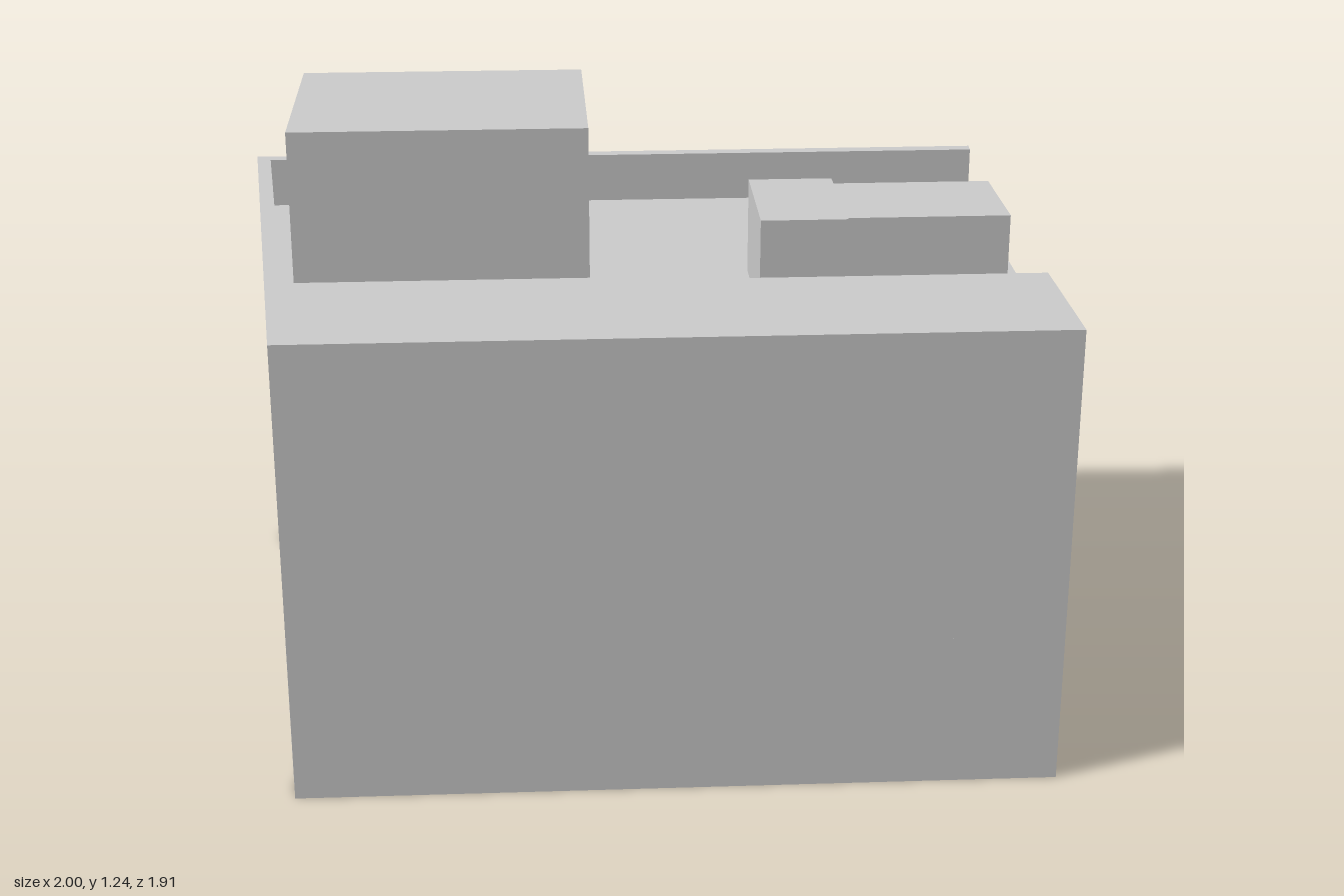
import * as THREE from 'three';

const material = new THREE.MeshStandardMaterial({ color: 0xcccccc, flatShading: true });

// Vertical prism over a plan outline of [x, z] points, from y0 up to y1
function prism(name, outline, y0, y1) {
  const shape = new THREE.Shape(outline.map(([x, z]) => new THREE.Vector2(x, -z)));
  const geometry = new THREE.ExtrudeGeometry(shape, { depth: y1 - y0, bevelEnabled: false });
  geometry.rotateX(-Math.PI / 2).translate(0, y0, 0);
  const mesh = new THREE.Mesh(geometry, material);
  mesh.name = name;
  return mesh;
}

export function createModel() {
  const model = new THREE.Group();
  model.name = 'building';

  // Plan corners of the main block, turned on the site
  const backLeft = [1, -0.27], frontLeft = [0.475, 0.957];
  const frontRight = [-1, 0.325], backRight = [-0.61, -0.957];
  const overhang = 0.335, roof = 0.895, parapet = 1.01;

  // Ground floor: square to the back wall, set back under the slanted side,
  // with the back and front walls running out to the full outline
  model.add(prism('groundFloor', [
    backLeft, frontLeft, frontRight,
    [-0.979, 0.254], [-0.97, 0.257],
    [-0.505, -0.83], [-0.631, -0.888], backRight,
  ], 0, overhang));

  // Upper floors: full trapezoid
  model.add(prism('upperFloors', [backLeft, frontLeft, frontRight, backRight], overhang, roof));

  // Parapet: thin at the back and slanted side, deep at the front, open at the left end
  model.add(prism('parapet', [
    backLeft, [0.985, -0.24], [-0.59, -0.915], [-0.865, 0], [0.61, 0.632],
    frontLeft, frontRight, backRight,
  ], roof, parapet));

  // Boxes standing on the roof
  model.add(prism('roofHouse',
    [[-0.525, -0.82], [0.08, -0.56], [-0.127, -0.073], [-0.733, -0.332]], roof, 1.24));
  model.add(prism('stairHead',
    [[0.215, 0.035], [0.385, 0.108], [0.265, 0.388], [0.093, 0.315]], roof, 1.107));
  model.add(prism('plantBox',
    [[0.385, 0.108], [0.71, 0.247], [0.61, 0.485], [0.283, 0.346]], roof, 1.095));

  return model;
}
